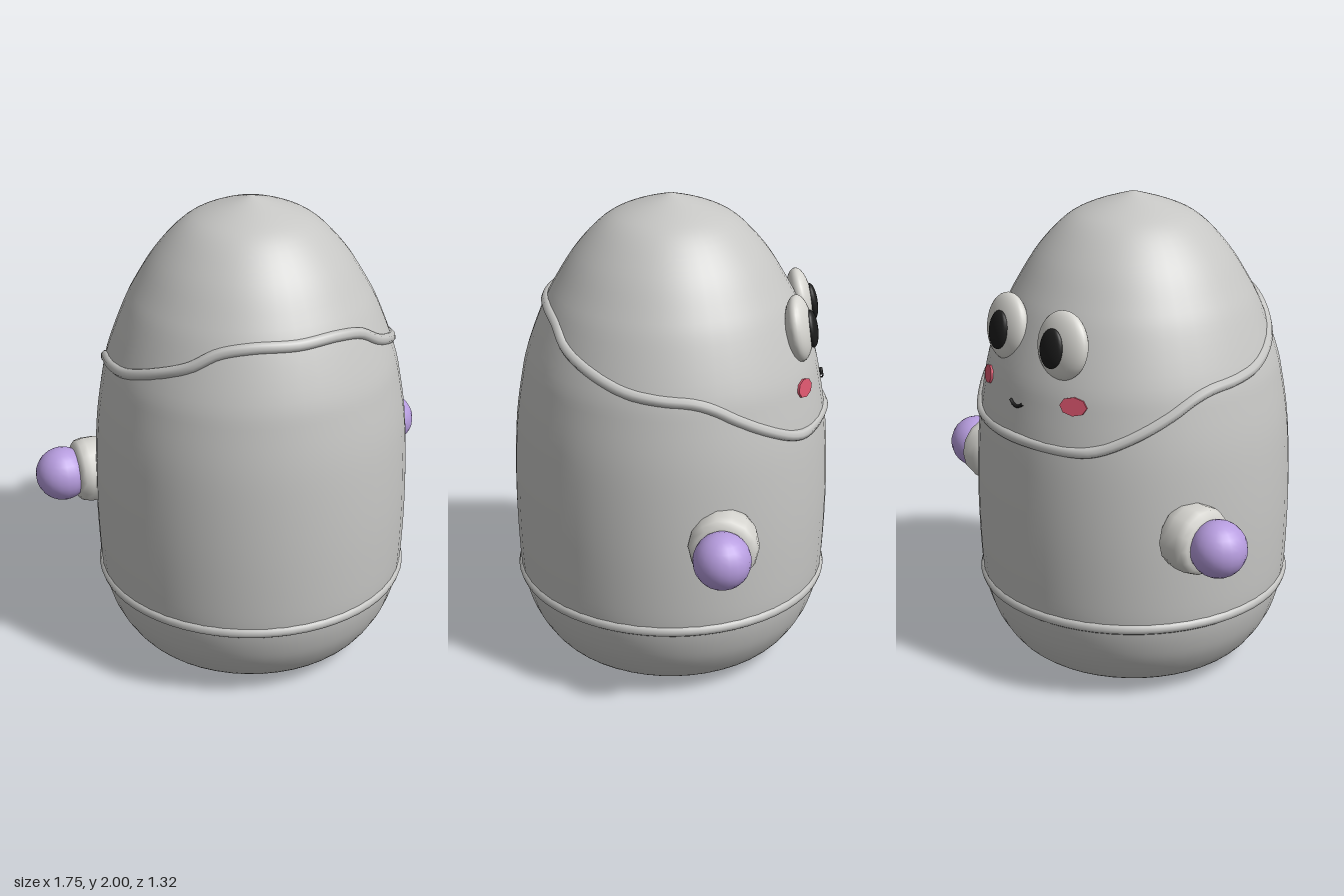
import * as THREE from 'three';

const material = (name, color) => {
  const m = new THREE.MeshStandardMaterial({ color });
  m.name = name;
  return m;
};

export function createModel() {
  const shellGrey = material('shell grey', 0xc6c6c4);
  const paleGrey = material('pale grey', 0xd6d5d0);
  const lilac = material('lilac', 0xb79ddf);
  const black = material('black', 0x1c1c1c);
  const rose = material('rose', 0xd8556c);

  const model = new THREE.Group();
  model.name = 'roundRobot';
  const add = (name, geometry, mat, parent = model) => {
    const mesh = new THREE.Mesh(geometry, mat);
    mesh.name = name;
    parent.add(mesh);
    return mesh;
  };

  // Body outline as radius and height, from base to tip
  const outline = new THREE.SplineCurve([
    [0, 0], [0.2, 0.003], [0.35, 0.012], [0.45, 0.04], [0.525, 0.09], [0.588, 0.18],
    [0.625, 0.27], [0.647, 0.37], [0.656, 0.5], [0.66, 0.7], [0.655, 0.9], [0.642, 1.08],
    [0.617, 1.24], [0.59, 1.36], [0.522, 1.54], [0.468, 1.645], [0.388, 1.77],
    [0.28, 1.885], [0.17, 1.945], [0, 2],
  ].map(([r, y]) => new THREE.Vector2(r, y))).getPoints(76);
  outline[0].x = outline[outline.length - 1].x = 0;
  add('body', new THREE.LatheGeometry(outline, 48), shellGrey);

  // Body radius at a given height
  const radiusAt = (y) => {
    const i = Math.max(1, outline.findIndex((p) => p.y >= y));
    const a = outline[i - 1], b = outline[i];
    return a.x + (b.x - a.x) * (y - a.y) / (b.y - a.y);
  };

  // Trim around the base
  const baseTrim = add('baseTrim', new THREE.TorusGeometry(0.635, 0.026, 10, 64), shellGrey);
  baseTrim.rotation.x = Math.PI / 2;
  baseTrim.position.y = 0.372;

  // Wavy hood trim: angle from +z and height, mirrored to the other side
  const half = [
    [0, 1.56], [0.36, 1.56], [0.6, 1.535], [0.8, 1.475], [1.07, 1.42], [1.35, 1.37],
    [1.571, 1.35], [1.8, 1.335], [1.92, 1.31], [2.08, 1.255], [2.28, 1.19],
    [2.5, 1.13], [2.65, 1.11], [Math.PI, 1.11],
  ];
  const wave = [...half, ...half.slice(1, -1).reverse().map(([a, y]) => [-a, y])];
  const rim = new THREE.CatmullRomCurve3(wave.map(([a, y]) => {
    const r = radiusAt(y) - 0.008;
    return new THREE.Vector3(r * Math.sin(a), y, r * Math.cos(a));
  }), true);
  add('hoodTrim', new THREE.TubeGeometry(rim, 120, 0.024, 8, true), shellGrey);

  // Rounded cuff outline, turned about the arm axis
  const cuffOutline = [
    [0, -0.09], [0.11, -0.09], [0.132, -0.07], [0.139, -0.03], [0.139, 0.02],
    [0.132, 0.047], [0.115, 0.064], [0.08, 0.072], [0, 0.072],
  ].map(([r, y]) => new THREE.Vector2(r, y));

  for (const s of [1, -1]) {
    const side = s > 0 ? 'left' : 'right';

    // Arm: cuff and ball hand
    const arm = new THREE.Group();
    arm.name = side + 'Arm';
    arm.position.set(s * 0.64, 0.77, -0.257);
    model.add(arm);
    const cuff = add(side + 'Cuff', new THREE.LatheGeometry(cuffOutline, 14), paleGrey, arm);
    cuff.rotation.z = -s * Math.PI / 2;
    const hand = add(side + 'Hand', new THREE.SphereGeometry(0.114, 20, 14), lilac, arm);
    hand.position.x = s * 0.121;

    // Eye: flattened ball with a dark pupil, leaning with the face
    const eye = new THREE.Group();
    eye.name = side + 'Eye';
    eye.position.set(s * 0.17, 1.505, -0.522);
    eye.rotation.set(0.17, -s * 0.1, 0, 'YXZ');
    model.add(eye);
    const ball = add(side + 'Eyeball', new THREE.SphereGeometry(1, 28, 18), paleGrey, eye);
    ball.scale.set(0.125, 0.135, 0.053);
    const pupil = add(side + 'Pupil', new THREE.SphereGeometry(1, 20, 14), black, eye);
    pupil.scale.set(0.058, 0.078, 0.024);
    pupil.position.set(-s * 0.012, -0.012, -0.049);

    // Cheek blush lying on the face
    const cheekX = 0.262, cheekY = 1.288, r = radiusAt(cheekY);
    const cheek = new THREE.Group();
    cheek.name = side + 'Cheek';
    cheek.position.set(s * cheekX, cheekY, -Math.sqrt(r * r - cheekX * cheekX) - 0.003);
    cheek.rotation.set(0.2, -s * Math.asin(cheekX / r), 0, 'YXZ');
    model.add(cheek);
    const blush = add(side + 'Blush', new THREE.CylinderGeometry(1, 1, 0.009, 8), rose, cheek);
    blush.rotation.x = Math.PI / 2;
    blush.scale.set(0.057, 1, 0.037);
  }

  // Small smile
  const smile = new THREE.CatmullRomCurve3([-0.038, -0.02, 0, 0.02, 0.038].map((x) => {
    const y = 1.238 + 12 * x * x;
    return new THREE.Vector3(x, y, -Math.sqrt(radiusAt(y) ** 2 - x * x) - 0.006);
  }));
  add('smile', new THREE.TubeGeometry(smile, 16, 0.007, 6), black);

  return model;
}
